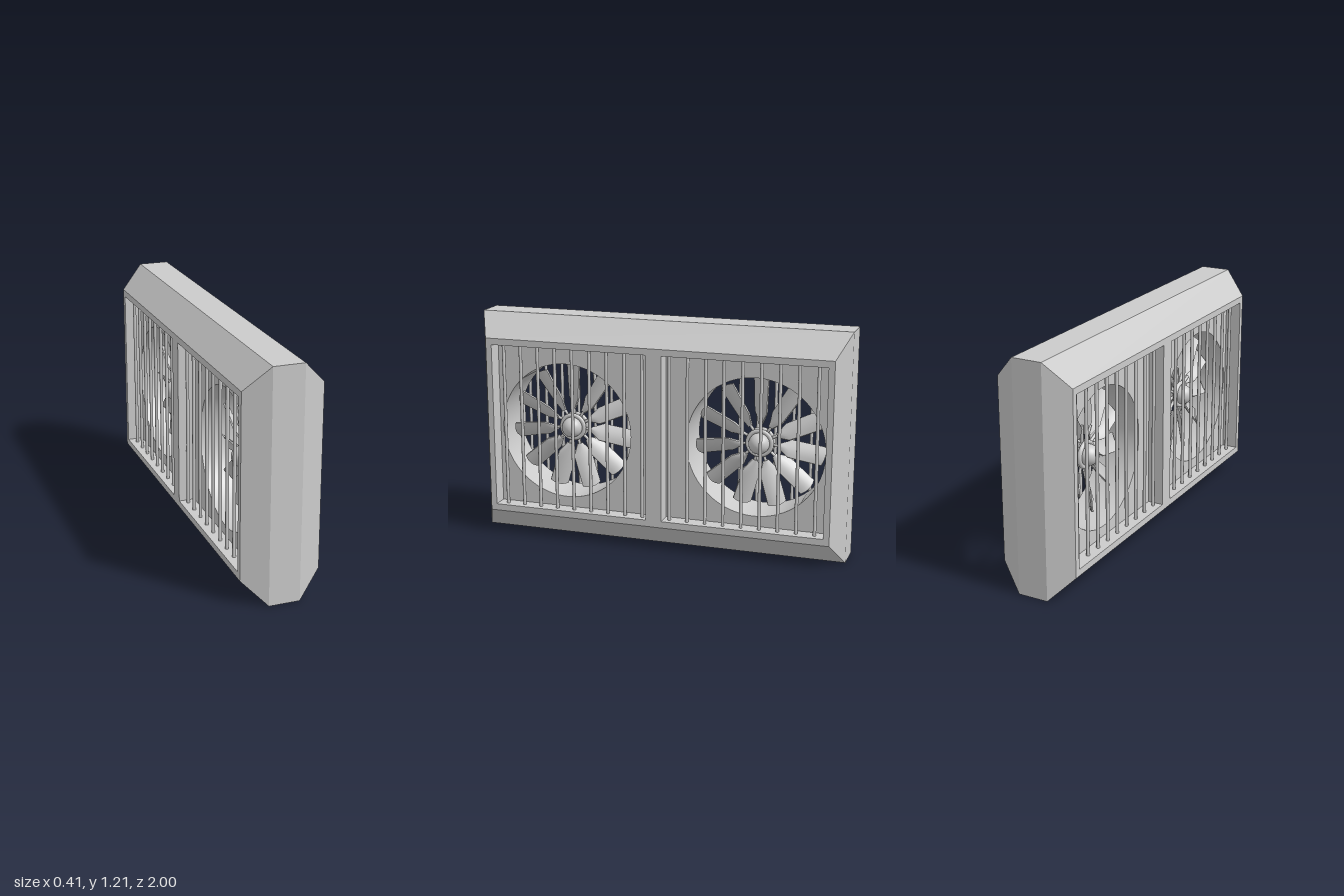
import * as THREE from 'three';
import { toCreasedNormals } from 'three/addons/utils/BufferGeometryUtils.js';

const grey = new THREE.MeshStandardMaterial({ color: 0xcccccc });
const FACE_X = 0.205, RECESS_X = 0.12;
const FAN_Y = 0.582, FAN_Z = 0.52, TUNNEL_R = 0.367;

function add(parent, geometry, name, x = 0, y = 0, z = 0) {
  const mesh = new THREE.Mesh(geometry, grey);
  mesh.name = name;
  mesh.position.set(x, y, z);
  parent.add(mesh);
  return mesh;
}

function trace(path, z0, z1, y0, y1) {
  path.moveTo(z0, y0);
  path.lineTo(z1, y0);
  path.lineTo(z1, y1);
  path.lineTo(z0, y1);
  path.closePath();
  return path;
}

// Plate standing in the y-z plane, centred on x = 0
function plate(holes, depth) {
  const shape = trace(new THREE.Shape(), -0.935, 0.935, 0.125, 1.08);
  shape.holes.push(...holes);
  const g = new THREE.ExtrudeGeometry(shape, { depth, bevelEnabled: false, curveSegments: 64 });
  g.translate(0, 0, -depth / 2);
  g.rotateY(Math.PI / 2);
  return toCreasedNormals(g, 0.5);
}

// Chamfered outer skin: rectangular loops along x, joined by quads
function skinGeometry() {
  const loops = [
    [-FACE_X, 0.125, 1.08, 0.935], [-0.08, 0, 1.205, 1],
    [0.08, 0, 1.205, 1], [FACE_X, 0.125, 1.08, 0.935],
  ].map(([x, y0, y1, z]) => [[x, y0, z], [x, y0, -z], [x, y1, -z], [x, y1, z]]);
  const points = [];
  for (let i = 0; i < 3; i++) {
    for (let j = 0; j < 4; j++) {
      const k = (j + 1) % 4;
      const a = loops[i][j], b = loops[i][k], c = loops[i + 1][k], d = loops[i + 1][j];
      points.push(...a, ...b, ...c, ...a, ...c, ...d);
    }
  }
  const g = new THREE.BufferGeometry();
  g.setAttribute('position', new THREE.Float32BufferAttribute(points, 3));
  g.computeVertexNormals();
  return g;
}

// Cambered, twisted blade running outward along +y
function bladeGeometry() {
  const r0 = 0.1, r1 = 0.348, chord = 0.1;
  const g = new THREE.BoxGeometry(0.008, r1 - r0, chord, 1, 8, 6);
  const p = g.attributes.position;
  for (let i = 0; i < p.count; i++) {
    const t = p.getY(i) / (r1 - r0) + 0.5;
    const u = p.getZ(i) / (chord / 2);
    const width = chord * THREE.MathUtils.lerp(0.3, 1, Math.min(1, t / 0.25));
    const z = u * width / 2;
    const x = p.getX(i) + 0.012 * (1 - u * u);
    const pitch = THREE.MathUtils.lerp(0.75, 0.5, t);
    const c = Math.cos(pitch), s = Math.sin(pitch);
    p.setXYZ(i, x * c - z * s, r0 + t * (r1 - r0) - 0.012 * t * u * u, x * s + z * c);
  }
  return toCreasedNormals(g, 0.6);
}

// Round-nosed hub profile revolved about the fan axis
function hubGeometry() {
  const r = 0.055, half = 0.035, pts = [];
  for (let i = 0; i <= 10; i++) {
    const a = -Math.PI / 2 + (i / 10) * Math.PI / 2;
    pts.push(new THREE.Vector2(r * Math.cos(a), -half + r * Math.sin(a)));
  }
  const top = pts.map((v) => new THREE.Vector2(v.x, -v.y)).reverse();
  const g = new THREE.LatheGeometry([...pts, ...top], 32);
  g.rotateZ(-Math.PI / 2);
  return g;
}

function createFan() {
  const fan = new THREE.Group();
  fan.name = 'fan';
  add(fan, hubGeometry(), 'hub');
  const collar = new THREE.TorusGeometry(0.064, 0.012, 10, 32);
  collar.rotateY(Math.PI / 2);
  for (const x of [-0.022, 0.022]) add(fan, collar, 'hubCollar', x);
  const blade = bladeGeometry();
  const stem = new THREE.CylinderGeometry(0.008, 0.008, 0.1, 8);
  stem.translate(0, 0.1, 0);
  const count = 11;
  for (let i = 0; i < count; i++) {
    const arm = new THREE.Group();
    arm.name = 'bladeArm';
    arm.rotation.x = (i / count) * Math.PI * 2;
    add(arm, blade, 'blade');
    add(arm, stem, 'bladeStem');
    fan.add(arm);
  }
  return fan;
}

export function createModel() {
  const model = new THREE.Group();
  model.name = 'twinFanUnit';
  const sides = [-1, 1];

  // Housing: skin, core pierced by the two tunnels, recessed frame on each face
  const housing = new THREE.Group();
  housing.name = 'housing';
  model.add(housing);
  add(housing, skinGeometry(), 'outerShell');
  const tunnels = sides.map((s) => new THREE.Path().absarc(s * FAN_Z, FAN_Y, TUNNEL_R, 0, Math.PI * 2, true));
  add(housing, plate(tunnels, RECESS_X * 2), 'tunnelCore');
  const openings = sides.map((s) => trace(new THREE.Path(), s * 0.043, s * 0.903, 0.16, 1.045));
  const frame = plate(openings, FACE_X - RECESS_X);
  for (const s of sides) add(housing, frame, 'grilleFrame', s * (FACE_X + RECESS_X) / 2);

  // Fans
  for (const s of sides) {
    const fan = createFan();
    fan.position.set(0, FAN_Y, s * FAN_Z);
    model.add(fan);
  }

  // Upright grille bars across all four openings
  const bar = new THREE.CylinderGeometry(0.009, 0.009, 0.885, 12);
  for (const sx of sides) {
    for (const sz of sides) {
      const grille = new THREE.Group();
      grille.name = 'grille';
      for (let i = 0; i < 9; i++) {
        add(grille, bar, 'grilleBar', sx * 0.165, 0.6025, sz * (0.075 + i * 0.097));
      }
      model.add(grille);
    }
  }
  return model;
}
